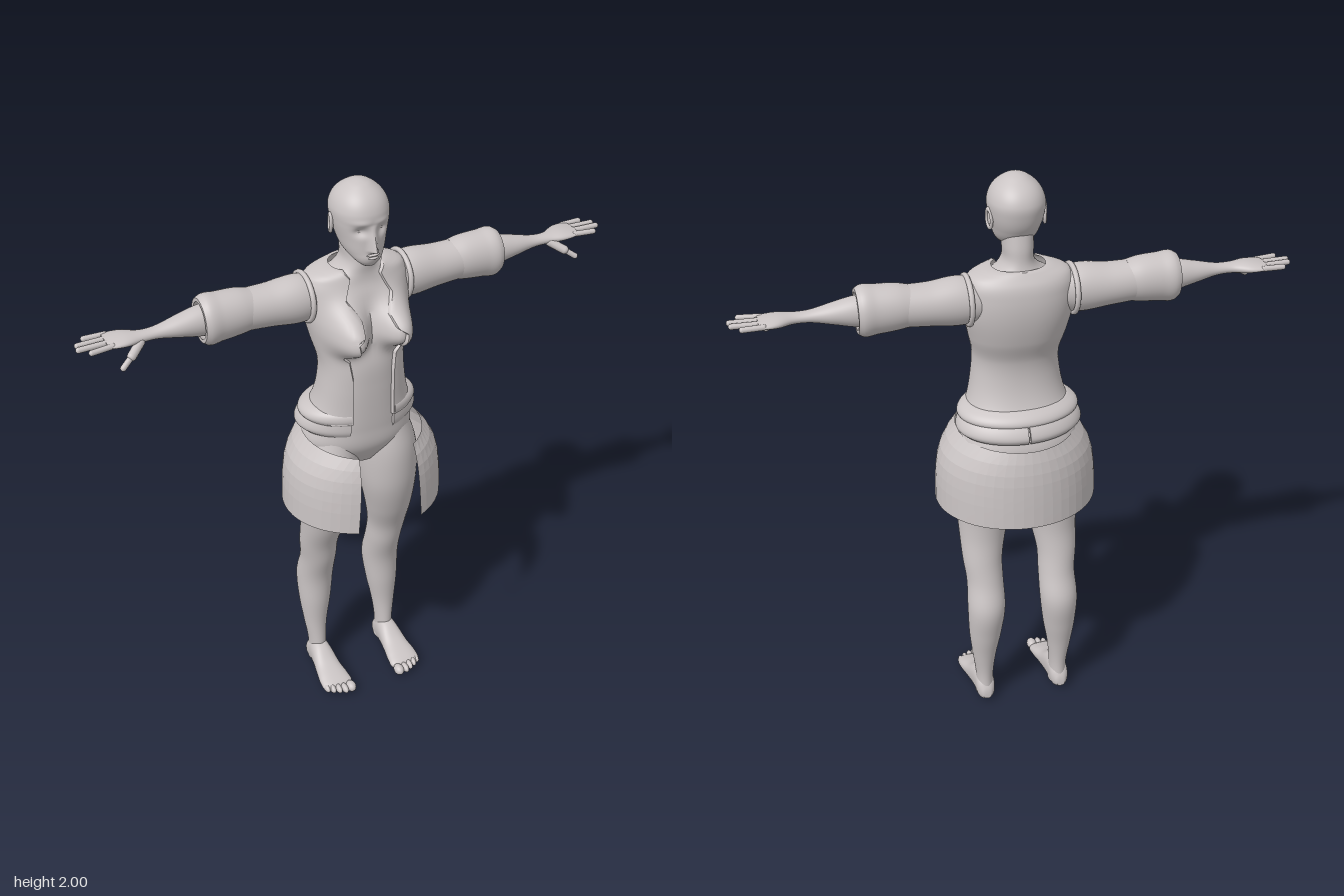
import * as THREE from 'three';
import { toCreasedNormals } from 'three/addons/utils/BufferGeometryUtils.js';

const clay = new THREE.MeshStandardMaterial({ color: 0xcac4c4, side: THREE.DoubleSide });
clay.name = 'warm grey clay';

const mesh = (name, geo, parent) => {
  const m = new THREE.Mesh(geo, clay);
  m.name = name;
  parent.add(m);
  return m;
};

// Places a ring point (a, b) at distance t along the given axis
const place = {
  y: (a, b, t) => [a, t, b],
  x: (a, b, t) => [t, b, a],
  z: (a, b, t) => [b, a, t],
};

// Smooth skin through rows of [t, aMin, aMax, bMin, bMax].
// gap(t) leaves a front opening; thick gives cloth an inner wall.
function loft(rows, { axis = 'y', seg = 40, steps = 40, gap, end, thick = 0, power = 1, warp, flat } = {}) {
  const curve = new THREE.CubicInterpolant(rows.map(r => r[0]), rows.flatMap(r => r.slice(1)), 4);
  const t0 = rows[0][0], t1 = rows[rows.length - 1][0];
  const pos = [], idx = [];
  const pow = v => Math.sign(v) * Math.abs(v) ** power;
  let m = 0;
  for (let j = 0; j <= steps; j++) {
    const t = t0 + (t1 - t0) * j / steps;
    const [a0, a1, b0, b1] = curve.evaluate(t);
    const ra = (a1 - a0) / 2, rb = (b1 - b0) / 2;
    const from = gap ? Math.asin(Math.min(1, gap(t) / ra) ** (1 / power)) : 0;
    const to = end ?? Math.PI * 2 - from;
    const ring = [];
    const add = (k, inset) => {
      const th = from + (to - from) * k / seg;
      const a = (a0 + a1) / 2 + (ra - inset) * pow(Math.sin(th));
      const b = (b0 + b1) / 2 + (rb - inset) * pow(Math.cos(th));
      const p = place[axis](a, b, t);
      ring.push(warp ? warp(...p) : p);
    };
    for (let k = 0; k <= seg; k++) add(k, 0);
    if (thick) for (let k = seg; k >= 0; k--) add(k, thick);
    m = ring.length;
    pos.push(...ring.flat().map(v => v * 100));
  }
  const quad = (a, b, c, d) => idx.push(a, b, c, a, c, d);
  for (let j = 0; j < steps; j++) {
    for (let i = 0; i < (thick ? m : m - 1); i++) {
      const n = (i + 1) % m;
      quad(j * m + i, j * m + n, (j + 1) * m + n, (j + 1) * m + i);
    }
  }
  if (thick || !gap) {
    const top = steps * m;
    for (let i = 0; i + 1 < m - 1 - i; i++) {
      quad(m - 1 - i, m - 2 - i, i + 1, i);
      quad(top + i, top + i + 1, top + m - 2 - i, top + m - 1 - i);
    }
  }
  const geo = new THREE.BufferGeometry();
  geo.setAttribute('position', new THREE.Float32BufferAttribute(pos, 3));
  geo.setIndex(idx);
  return toCreasedNormals(geo, flat ? 0.02 : 0.9).scale(0.01, 0.01, 0.01);
}

const sym = rows => rows.map(([y, w, zb, zf]) => [y, -w, w, zb, zf]);
const bell = (v, s) => Math.exp(-((v / s) ** 2));

// Straight-line lookup in pairs of [t, value], ascending in t
const lookup = table => t => {
  let i = 0;
  while (i < table.length - 2 && table[i + 1][0] < t) i++;
  const [a, b] = [table[i], table[i + 1]];
  return THREE.MathUtils.mapLinear(THREE.MathUtils.clamp(t, a[0], b[0]), a[0], b[0], a[1], b[1]);
};

// Chest volume, sharper underneath than above
function chest(x, y, z) {
  const dy = y - 1.505, d = Math.hypot((Math.abs(x) - 0.085) / 0.062, dy / (dy > 0 ? 0.085 : 0.062));
  return [x, y, z + 0.1 * Math.exp(-(d ** 2.6)) * THREE.MathUtils.smoothstep(z, -0.03, 0.06)];
}

// Nose, eye sockets and brow
function face(x, y, z) {
  if (z < 0.02) return [x, y, z];
  const nose = y > 1.8 ? Math.max(0, (1.885 - y) / 0.085) : Math.max(0, 1 - (1.8 - y) / 0.012);
  const socket = bell(Math.abs(x) - 0.036, 0.02) * bell(y - 1.862, 0.016);
  const brow = bell(Math.abs(x) - 0.038, 0.03) * bell(y - 1.892, 0.01);
  const mouth = bell(x, 0.03) * bell(y - 1.775, 0.014);
  return [x, y, z + 0.03 * nose * bell(x, 0.013) - 0.015 * socket + 0.004 * brow + 0.004 * mouth];
}

function ellipsoid(name, parent, p, s) {
  const m = mesh(name, new THREE.SphereGeometry(1, 20, 14), parent);
  m.position.set(...p);
  m.scale.set(...s);
  return m;
}

function capsule(name, parent, p, q, r) {
  const a = new THREE.Vector3(...p), b = new THREE.Vector3(...q), d = b.clone().sub(a);
  const m = mesh(name, new THREE.CapsuleGeometry(r, d.length(), 6, 12), parent);
  m.position.copy(a).add(b).multiplyScalar(0.5);
  m.quaternion.setFromUnitVectors(new THREE.Vector3(0, 1, 0), d.normalize());
}

function buildSide() {
  const side = new THREE.Group();
  mesh('leg', loft([
    [0.02, 0.105, 0.172, -0.122, -0.03], [0.1, 0.108, 0.17, -0.118, -0.035], [0.2, 0.098, 0.183, -0.13, -0.04],
    [0.3, 0.08, 0.195, -0.15, -0.035], [0.42, 0.066, 0.2, -0.165, -0.03], [0.52, 0.066, 0.196, -0.135, -0.003],
    [0.6, 0.065, 0.205, -0.118, 0.015], [0.7, 0.045, 0.21, -0.105, 0.055], [0.82, 0.018, 0.217, -0.115, 0.09],
    [0.9, 0.006, 0.222, -0.145, 0.1], [1.0, 0.0, 0.215, -0.17, 0.1], [1.1, 0.01, 0.18, -0.14, 0.08],
  ], { steps: 60 }), side);
  mesh('foot', loft([
    [-0.128, 0.015, 0.045, 0.125, 0.155], [-0.11, 0.003, 0.08, 0.11, 0.17], [-0.07, 0, 0.11, 0.104, 0.175],
    [-0.03, 0, 0.105, 0.1, 0.18], [0.03, 0.002, 0.068, 0.093, 0.19], [0.08, 0.002, 0.05, 0.085, 0.198],
    [0.115, 0.004, 0.036, 0.087, 0.194], [0.125, 0.01, 0.028, 0.1, 0.185],
  ], { axis: 'z', power: 0.85 }), side);
  [[0.1, 0.143, 0.018], [0.126, 0.143, 0.012], [0.147, 0.134, 0.011], [0.167, 0.124, 0.011], [0.185, 0.111, 0.011]]
    .forEach(([x, z, r]) => ellipsoid('toe', side, [x, 0.02, z - 0.007], [r, r * 0.6 + 0.008, 0.025]));

  mesh('forearmAndHand', loft([
    [0.38, -0.095, 0.0, 1.555, 1.655], [0.53, -0.092, 0.0, 1.557, 1.66], [0.6, -0.082, -0.005, 1.572, 1.645],
    [0.68, -0.066, -0.016, 1.588, 1.627], [0.73, -0.068, -0.013, 1.59, 1.625], [0.78, -0.095, 0.0, 1.592, 1.628],
    [0.82, -0.102, 0.0, 1.598, 1.624], [0.84, -0.1, -0.004, 1.604, 1.62],
  ], { axis: 'x' }), side);
  [[-0.092, -0.094, 0.892], [-0.066, -0.062, 0.922], [-0.04, -0.036, 0.926], [-0.013, -0.003, 0.895]]
    .forEach(([z0, z1, tip]) => capsule('finger', side, [0.825, 1.612, z0], [tip, 1.612, z1], 0.0095));
  capsule('thumbBase', side, [0.735, 1.598, -0.022], [0.775, 1.574, 0.008], 0.015);
  capsule('thumbTip', side, [0.775, 1.574, 0.008], [0.81, 1.55, 0.024], 0.01);

  // Sleeve with a wider turned-back cuff
  mesh('sleeve', loft([
    [0.12, -0.115, 0.02, 1.535, 1.67], [0.2, -0.12, 0.028, 1.523, 1.686], [0.3, -0.118, 0.022, 1.533, 1.677],
    [0.4, -0.113, 0.018, 1.54, 1.677],
  ], { axis: 'x' }), side);
  mesh('cuff', loft([
    [0.36, -0.112, 0.016, 1.54, 1.677], [0.4, -0.117, 0.022, 1.533, 1.686], [0.47, -0.119, 0.026, 1.526, 1.69],
    [0.515, -0.12, 0.028, 1.522, 1.692], [0.532, -0.112, 0.02, 1.533, 1.682],
  ], { axis: 'x', thick: 0.012, steps: 24 }), side);
  const hole = mesh('armhole', new THREE.TorusGeometry(0.08, 0.009, 10, 40), side);
  hole.position.set(0.174, 1.604, -0.048);
  hole.rotation.y = Math.PI / 2;

  // Lower jacket flap, parted at the back
  mesh('jacketFlap', loft([
    [1.115, 0.2, -0.18, 0.108], [1.13, 0.214, -0.188, 0.114], [1.155, 0.211, -0.181, 0.116], [1.2, 0.18, -0.145, 0.115],
  ].map(([y, w, zb, zf]) => [y, -w, w, zb, zf]),
  { gap: () => 0.08, end: Math.PI - 0.015, thick: 0.014, steps: 16 }), side);

  ellipsoid('eye', side, [0.036, 1.862, 0.066], [0.016, 0.01, 0.014]);
  const ear = new THREE.Group();
  ear.name = 'ear';
  const rim = mesh('earRim', new THREE.TorusGeometry(0.022, 0.006, 8, 24), ear);
  rim.scale.set(0.75, 1.35, 1);
  ellipsoid('earBowl', ear, [0, -0.004, -0.004], [0.015, 0.027, 0.006]);
  ear.position.set(0.091, 1.862, -0.018);
  ear.rotation.set(0, Math.PI / 2 + 0.25, 0.12);
  side.add(ear);
  return side;
}

export function createModel() {
  const model = new THREE.Group();
  model.name = 'figure';

  mesh('torso', loft(sym([
    [0.97, 0.06, -0.1, 0.055], [1.05, 0.19, -0.172, 0.098], [1.13, 0.185, -0.16, 0.105], [1.2, 0.162, -0.125, 0.108],
    [1.3, 0.138, -0.09, 0.11], [1.38, 0.132, -0.09, 0.108], [1.46, 0.148, -0.115, 0.092], [1.55, 0.165, -0.132, 0.078],
    [1.62, 0.165, -0.13, 0.062], [1.66, 0.14, -0.118, 0.048], [1.69, 0.08, -0.102, 0.044], [1.72, 0.053, -0.092, 0.045],
    [1.77, 0.05, -0.088, 0.042], [1.82, 0.05, -0.08, 0.035],
  ]), { seg: 72, steps: 90, power: 0.9, warp: chest }), model);

  mesh('head', loft(sym([
    [1.738, 0.022, 0.048, 0.086], [1.755, 0.042, 0.01, 0.098], [1.785, 0.064, -0.05, 0.1], [1.83, 0.079, -0.088, 0.1],
    [1.88, 0.09, -0.106, 0.102], [1.92, 0.091, -0.108, 0.1], [1.96, 0.073, -0.086, 0.079], [1.985, 0.045, -0.053, 0.048],
    [1.995, 0.026, -0.032, 0.028], [2.0, 0.006, -0.009, 0.006],
  ]), { seg: 110, steps: 90, power: 0.93, warp: face }), model);
  ellipsoid('upperLip', model, [0, 1.782, 0.099], [0.022, 0.005, 0.01]);
  ellipsoid('lowerLip', model, [0, 1.772, 0.099], [0.018, 0.006, 0.01]);

  // Open jacket body with a scalloped front edge
  const frontEdge = lookup([
    [1.17, 0.075], [1.34, 0.075], [1.41, 0.085], [1.43, 0.108], [1.46, 0.078], [1.517, 0.088], [1.535, 0.06],
    [1.57, 0.05], [1.62, 0.083], [1.645, 0.07], [1.68, 0.055], [1.705, 0.075],
  ]);
  mesh('jacketBody', loft(sym([
    [1.17, 0.19, -0.155, 0.12], [1.22, 0.168, -0.125, 0.121], [1.3, 0.151, -0.103, 0.123], [1.38, 0.146, -0.104, 0.121],
    [1.46, 0.163, -0.132, 0.105], [1.55, 0.181, -0.15, 0.091], [1.62, 0.183, -0.15, 0.074], [1.665, 0.175, -0.14, 0.058],
    [1.688, 0.155, -0.125, 0.05], [1.705, 0.1, -0.112, 0.048],
  ]), { seg: 72, steps: 90, power: 0.9, thick: 0.012, gap: frontEdge, warp: chest }), model);
  mesh('jacketWaistRoll', loft(sym([
    [1.165, 0.2, -0.165, 0.118], [1.18, 0.208, -0.17, 0.124], [1.2, 0.197, -0.157, 0.124], [1.215, 0.172, -0.132, 0.118],
  ]), { gap: () => 0.08, thick: 0.014, steps: 12, seg: 60 }), model);

  // Stiff flared skirt, open at the front
  mesh('skirt', loft(sym([
    [0.82, 0.28, -0.24, 0.265], [0.92, 0.277, -0.236, 0.262], [1.0, 0.265, -0.23, 0.256],
    [1.05, 0.243, -0.222, 0.248], [1.1, 0.203, -0.208, 0.234],
  ]), { gap: lookup([[0.82, 0.118], [1.1, 0.1]]), steps: 7, seg: 44, flat: true }), model);

  const left = buildSide();
  left.name = 'leftSide';
  const right = left.clone();
  right.name = 'rightSide';
  right.scale.x = -1;
  model.add(left, right);
  return model;
}
